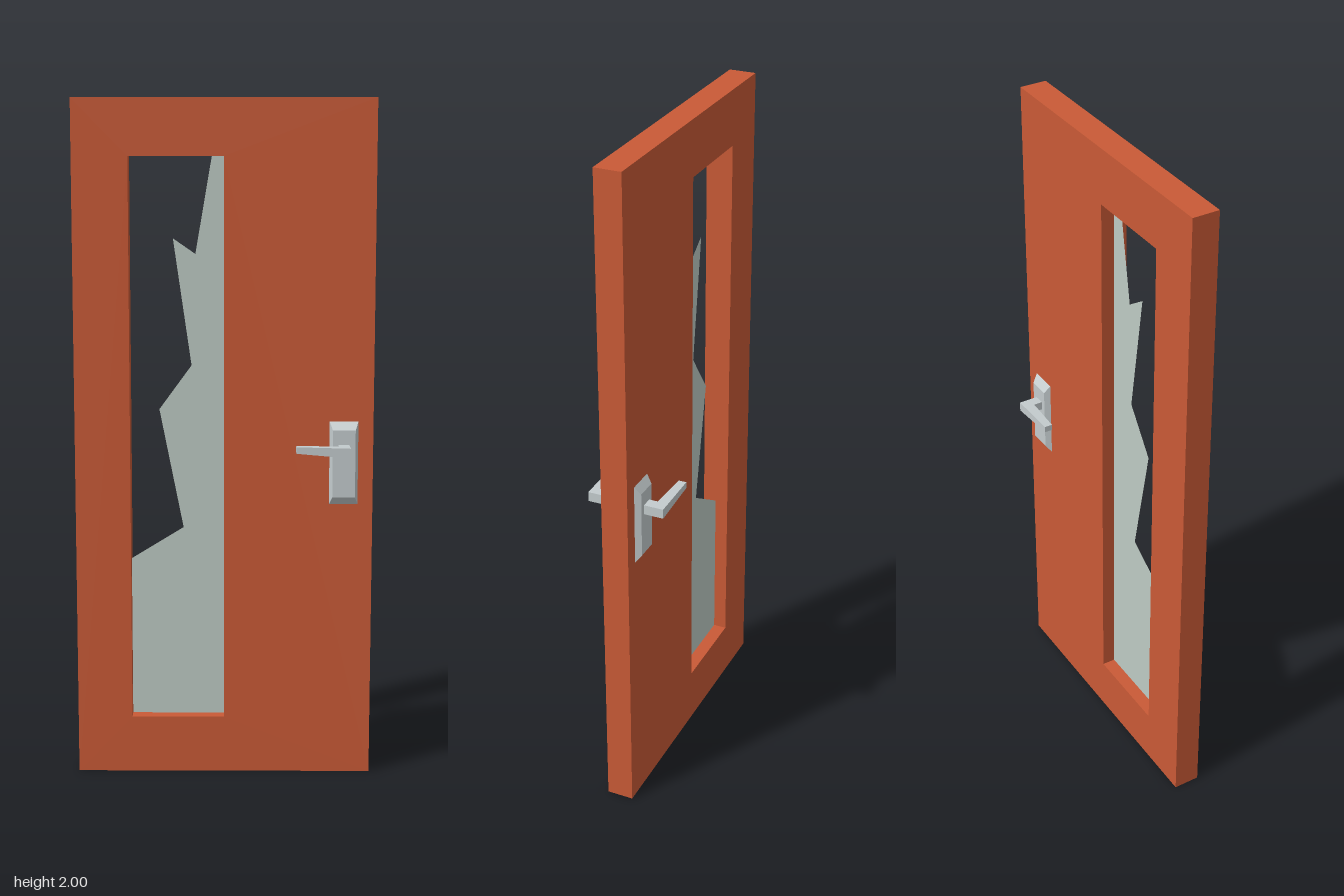
import * as THREE from 'three';

const paint = (color, extra = {}) => new THREE.MeshStandardMaterial({ color, ...extra });

const polygon = (points) => new THREE.Shape(points.map(([x, y]) => new THREE.Vector2(x, y)));

// Moves every vertex by a rule, then refreshes the flat normals
function reshape(geometry, rule) {
  const flat = geometry.index ? geometry.toNonIndexed() : geometry;
  const position = flat.attributes.position;
  const v = new THREE.Vector3();
  for (let i = 0; i < position.count; i++) {
    rule(v.fromBufferAttribute(position, i));
    position.setXYZ(i, v.x, v.y, v.z);
  }
  flat.computeVertexNormals();
  return flat;
}

export function createModel() {
  const group = new THREE.Group();
  const orange = paint(0xc95a36);
  const metal = paint(0xc3cbcd);
  const glass = paint(0xbecbc4, { side: THREE.DoubleSide });

  const add = (name, geometry, material) => {
    const mesh = new THREE.Mesh(geometry, material);
    mesh.name = name;
    group.add(mesh);
  };

  // Door leaf with a tall window opening
  const W = 0.437, T = 0.04;
  const left = -0.275, right = 0, bottom = 0.17, top = 1.835;
  const leaf = polygon([[-W, 0], [W, 0], [W, 2], [-W, 2]]);
  leaf.holes.push(polygon([[left, bottom], [left, top], [right, top], [right, bottom]]));
  const leafGeometry = new THREE.ExtrudeGeometry(leaf, { depth: 2 * T, bevelEnabled: false });
  add('doorLeaf', leafGeometry.translate(0, 0, -T), orange);

  // Broken pane with a jagged edge
  add('brokenGlass', new THREE.ShapeGeometry(polygon([
    [left, bottom], [right, bottom], [right, top], [-0.035, top], [-0.083, 1.555],
    [-0.148, 1.6], [-0.095, 1.23], [-0.19, 1.1], [-0.12, 0.745], [left, 0.65],
  ])), glass);

  // Bevelled plate and tapered lever on each face
  for (const [side, s] of [['front', 1], ['back', -1]]) {
    const plate = reshape(new THREE.BoxGeometry(0.084, 0.246, 0.0175), (v) => {
      if (v.z * s > 0) {
        v.x *= 0.79;
        v.y *= 0.81;
      }
      v.add(new THREE.Vector3(0.351, 0.947, s * (T + 0.00875)));
    });
    add(side + 'HandlePlate', plate, metal);

    // L-shaped plan, thinned in height toward the tip
    const plan = polygon([
      [0.367, 0.05], [0.367, 0.1155], [0.21, 0.1155], [0.21, 0.092], [0.334, 0.084], [0.334, 0.05],
    ].map(([x, z]) => [x, s * z]));
    const lever = new THREE.ExtrudeGeometry(plan, { depth: 1, bevelEnabled: false });
    lever.rotateX(Math.PI / 2).translate(0, 1, 0);
    add(side + 'HandleLever', reshape(lever, (v) => {
      const t = (v.x - 0.21) / 0.157;
      const low = THREE.MathUtils.lerp(0.988, 0.974, t);
      const high = THREE.MathUtils.lerp(1.007, 1.003, t);
      v.y = v.y > 0.5 ? high : low;
    }), metal);
  }

  return group;
}
